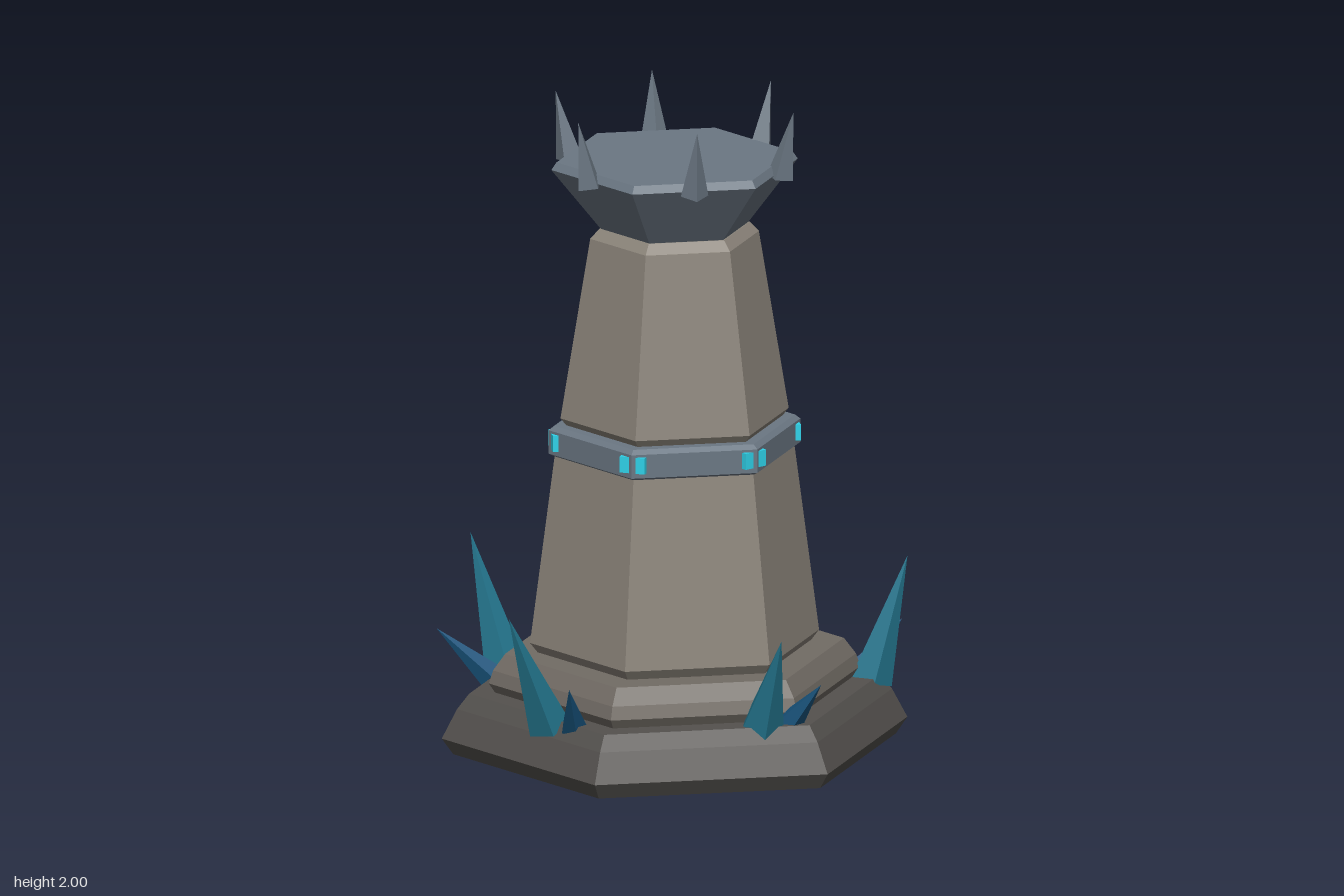
import * as THREE from 'three';

const mat = (color) => new THREE.MeshStandardMaterial({ color, flatShading: true });

// Six-sided solid from [radius, height] pairs, corners on the x axis
function hexSolid(name, profile, material) {
  const pts = [[0, profile[0][1]], ...profile, [0, profile[profile.length - 1][1]]];
  const geo = new THREE.LatheGeometry(pts.map(([r, y]) => new THREE.Vector2(r, y)), 6, Math.PI / 6);
  const mesh = new THREE.Mesh(geo, material);
  mesh.name = name;
  return mesh;
}

// Pointed cone running from the centre of its foot to its tip
function spike(name, foot, tip, radius, sides, material) {
  const a = new THREE.Vector3(...foot);
  const dir = new THREE.Vector3(...tip).sub(a);
  const length = dir.length();
  const geo = new THREE.ConeGeometry(radius, length, sides).translate(0, length / 2, 0);
  const mesh = new THREE.Mesh(geo, material);
  mesh.position.copy(a);
  mesh.quaternion.setFromUnitVectors(new THREE.Vector3(0, 1, 0), dir.normalize());
  mesh.name = name;
  return mesh;
}

export function createModel() {
  const model = new THREE.Group();
  model.name = 'hexagonalTower';

  const darkStone = mat(0x54514e);
  const midStone = mat(0x726c65);
  const stone = mat(0x8c857b);
  const metal = mat(0x6b7783);
  const glow = mat(0x2fd3ea);
  const teal = mat(0x23748c);
  const blue = mat(0x17527a);

  const tower = new THREE.Group();
  tower.name = 'tower';
  tower.position.set(-0.01, 0, 0.046);
  model.add(tower);

  // Stacked stone tiers, band and flared crown
  tower.add(
    hexSolid('base', [[0.677, 0], [0.712, 0.05], [0.665, 0.14], [0.628, 0.186]], darkStone),
    hexSolid('step', [[0.545, 0.18], [0.568, 0.215], [0.555, 0.255], [0.518, 0.305]], midStone),
    hexSolid('lowerShaft', [[0.415, 0.3], [0.442, 0.335], [0.362, 0.95], [0.34, 0.98]], stone),
    hexSolid('band', [[0.37, 0.914], [0.385, 0.922], [0.385, 0.995], [0.368, 1.008]], metal),
    hexSolid('upperShaft', [[0.325, 1.0], [0.349, 1.03], [0.258, 1.585], [0.23, 1.615]], stone),
    hexSolid('crown', [[0.222, 1.61], [0.377, 1.805], [0.361, 1.828]], metal),
  );

  for (let i = 0; i < 6; i++) {
    const sector = new THREE.Group();
    sector.name = 'sector';
    sector.rotation.y = (i * Math.PI) / 3;
    tower.add(sector);

    // Crown spike over the middle of each side, leaning outward
    sector.add(spike('crownSpike', [0, 1.795, 0.337], [0, 2, 0.38], 0.042, 4, metal));

    // Glowing inlay breaking through the band on both sides of each corner
    const inlay = new THREE.Mesh(new THREE.BoxGeometry(0.08, 0.05, 0.05), glow);
    inlay.name = 'bandInlay';
    inlay.rotation.y = Math.PI / 6;
    inlay.position.set(0.354 * Math.sin(Math.PI / 6), 0.962, 0.354 * Math.cos(Math.PI / 6));
    sector.add(inlay);
  }

  // Crystal clusters: foot and tip of the large and the small crystal
  const clusters = [
    [[0.59, 0.17, 0.038], [0.703, 0.552, 0.043], [0.58, 0.175, -0.06], [0.718, 0.312, -0.125]],
    [[0.15, 0.17, -0.5], [0.217, 0.637, -0.686], [0.068, 0.175, -0.51], [0.054, 0.31, -0.636]],
    [[-0.47, 0.17, -0.28], [-0.563, 0.583, -0.345], [-0.53, 0.175, -0.195], [-0.688, 0.32, -0.229]],
    [[-0.455, 0.165, 0.375], [-0.595, 0.53, 0.477], [-0.39, 0.175, 0.445], [-0.424, 0.32, 0.55]],
    [[0.165, 0.175, 0.55], [0.202, 0.475, 0.679], [0.25, 0.18, 0.54], [0.335, 0.317, 0.616]],
  ];
  for (const [bigFoot, bigTip, smallFoot, smallTip] of clusters) {
    const cluster = new THREE.Group();
    cluster.name = 'crystalCluster';
    cluster.add(
      spike('largeCrystal', bigFoot, bigTip, 0.068, 5, teal),
      spike('smallCrystal', smallFoot, smallTip, 0.042, 5, blue),
    );
    model.add(cluster);
  }
  return model;
}
